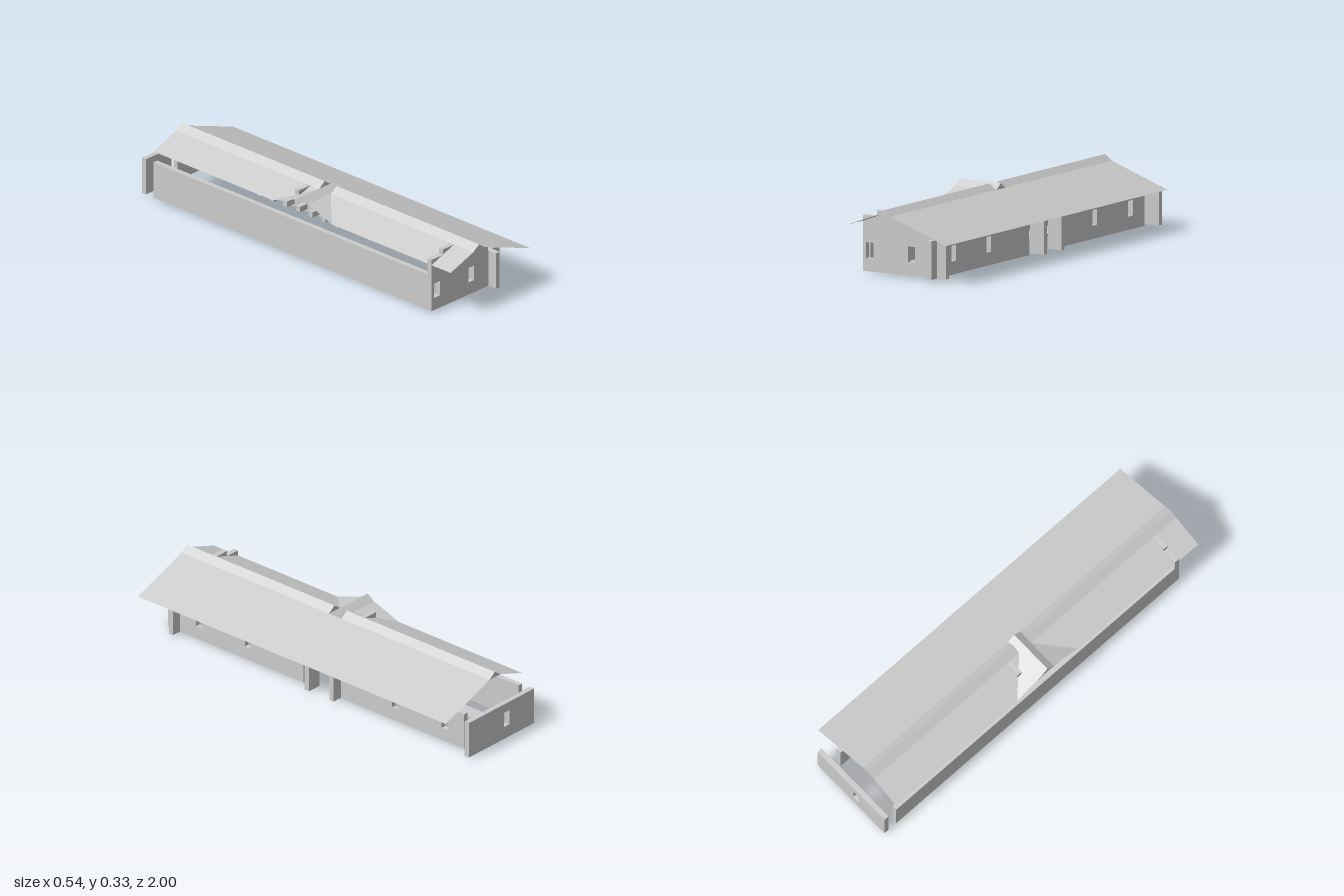
import * as THREE from 'three';

const M = 0.077;            // plan module
const H = 0.0277;           // roof rise per module
const BASE = 0.01, WALL = 0.193;
const T = 0.026;            // wall thickness
const L = -0.27, EAVE = 0.249, TOP = 0.304, RIDGE = 0.332;
const K0 = -0.116, KM = -0.077, K1 = -0.039;   // ridge cap left, middle, right

export function createModel() {
  const group = new THREE.Group();
  const solid = new THREE.MeshStandardMaterial({ color: 0xcccccc, flatShading: true });
  const sheet = new THREE.MeshStandardMaterial({ color: 0xcccccc, flatShading: true, side: THREE.DoubleSide });

  const add = (name, geometry, material = solid) => {
    const mesh = new THREE.Mesh(geometry, material);
    mesh.name = name;
    group.add(mesh);
    return mesh;
  };

  const box = (name, x0, x1, y0, y1, z0, z1) =>
    add(name, new THREE.BoxGeometry(x1 - x0, y1 - y0, z1 - z0))
      .position.set((x0 + x1) / 2, (y0 + y1) / 2, (z0 + z1) / 2);

  // Thin polygon given by its corners, counter-clockwise from outside
  const panel = (name, ...corners) => {
    const pos = [];
    for (let i = 1; i < corners.length - 1; i++) pos.push(...corners[0], ...corners[i], ...corners[i + 1]);
    const g = new THREE.BufferGeometry();
    g.setAttribute('position', new THREE.Float32BufferAttribute(pos, 3));
    g.computeVertexNormals();
    return add(name, g, sheet);
  };

  // Upright wall from an outline, with window holes centred at given places
  const wall = (name, outline, windows) => {
    const shape = new THREE.Shape(outline.map(([u, v]) => new THREE.Vector2(u, v)));
    for (const u of windows) {
      const hole = new THREE.Path();
      hole.moveTo(u - 0.02, 0.073);
      hole.lineTo(u - 0.02, 0.148);
      hole.lineTo(u + 0.02, 0.148);
      hole.lineTo(u + 0.02, 0.073);
      hole.closePath();
      shape.holes.push(hole);
    }
    return add(name, new THREE.ExtrudeGeometry(shape, { depth: T, bevelEnabled: false }));
  };
  const rect = (a, b) => [[a, BASE], [b, BASE], [b, WALL], [a, WALL]];

  // Front gable wall with a stepped top
  const outline = [[L, BASE], [0.192, BASE]];
  [0, 1, 2, 3, 4, 3].forEach((step, i) => {
    const y = WALL + step * H;
    outline.push([0.192 - i * M, y], [0.192 - (i + 1) * M, y]);
  });
  wall('frontWall', outline, [-0.232, 0]).position.z = 0.85;

  // Detached back wall
  wall('backWall', rect(L, 0.192), [-0.075]).position.z = -1;

  // Long windowed walls on the left side, split by the doorway
  for (const [name, z0, z1, windows] of [
    ['leftWallFront', M, 0.925, [0.73, 0.425]],
    ['leftWallRear', -0.925, -0.155, [-0.495, -0.805]],
  ]) {
    const mesh = wall(name, rect(-z1, -z0), windows.map((z) => -z));
    mesh.rotation.y = Math.PI / 2;
    mesh.position.x = 0.116;
  }

  // Solid right wall
  box('rightWall', L, L + T, BASE, WALL, -0.925, 0.85);

  // Doorway jambs and small ledge
  box('doorJamb', 0.116, 0.192, BASE, WALL, 0, T);
  box('doorJamb', 0.116, 0.192, BASE, WALL, -0.154, -0.128);
  box('doorLedge', 0.142, 0.192, 0.185, WALL, -0.231, -0.154);

  // Floor plates
  for (const [z0, z1] of [[0.308, 0.77], [-0.231, 0.154], [-0.847, -0.385]])
    box('floorPlate', -0.193, K0, 0, BASE, z0, z1);

  // Row of blocks under the roof beside the dormer
  for (let i = 0; i < 7; i++) {
    const z = 0.2 - i * 0.0835;
    box('ceilingBlock', -0.193, -0.14, WALL, WALL + H, z - T, z);
  }
  box('innerWallTop', -0.193, K0, TOP - H, TOP + 0.002, -0.08, -0.055);

  // Main roof: left slope, and right slope left open around the dormer
  const F = 1, B = -0.925;
  panel('roofLeftSlope', [K1, TOP, F], [0.27, WALL, F], [0.27, WALL, B], [K1, TOP, B]);
  panel('roofRightSlopeFront', [L, EAVE, F], [K0, TOP, F], [K0, TOP, M], [L, EAVE, 3 * M]);
  panel('roofRightSlopeRear', [L, EAVE, -2 * M], [K0, TOP, 0], [K0, TOP, B], [L, EAVE, B]);

  // Steeper ridge cap, interrupted where the dormer ridge crosses
  for (const [z0, z1] of [[M, F], [B, 0]]) {
    panel('ridgeCapRight', [K0, TOP, z1], [KM, RIDGE, z1], [KM, RIDGE, z0], [K0, TOP, z0]);
    panel('ridgeCapLeft', [KM, RIDGE, z1], [K1, TOP, z1], [K1, TOP, z0], [KM, RIDGE, z0]);
    for (const z of [z0, z1]) panel('ridgeEnd', [K0, TOP, z], [K1, TOP, z], [KM, RIDGE, z]);
  }

  // Dormer ridge running across
  const C = M / 2;
  panel('dormerRidgeFront', [L, TOP, M], [K1, TOP, M], [K1, RIDGE, C], [L, RIDGE, C]);
  panel('dormerRidgeRear', [K1, TOP, 0], [L, TOP, 0], [L, RIDGE, C], [K1, RIDGE, C]);
  for (const x of [L, K1]) panel('dormerRidgeEnd', [x, TOP, M], [x, TOP, 0], [x, RIDGE, C]);

  // Dormer slopes: front runs into the valley, rear is two stepped panels
  panel('dormerSlopeFront', [L, EAVE, 3 * M], [K0, TOP, M], [L, TOP, M]);
  const X = L + M;
  panel('dormerSlopeRear', [X, EAVE, -2 * M], [L, EAVE, -2 * M], [L, TOP, 0], [X, TOP, 0]);
  panel('dormerSlopeRear', [K0, TOP - H, -M], [X, TOP - H, -M], [X, TOP, 0], [K0, TOP, 0]);

  return group;
}
